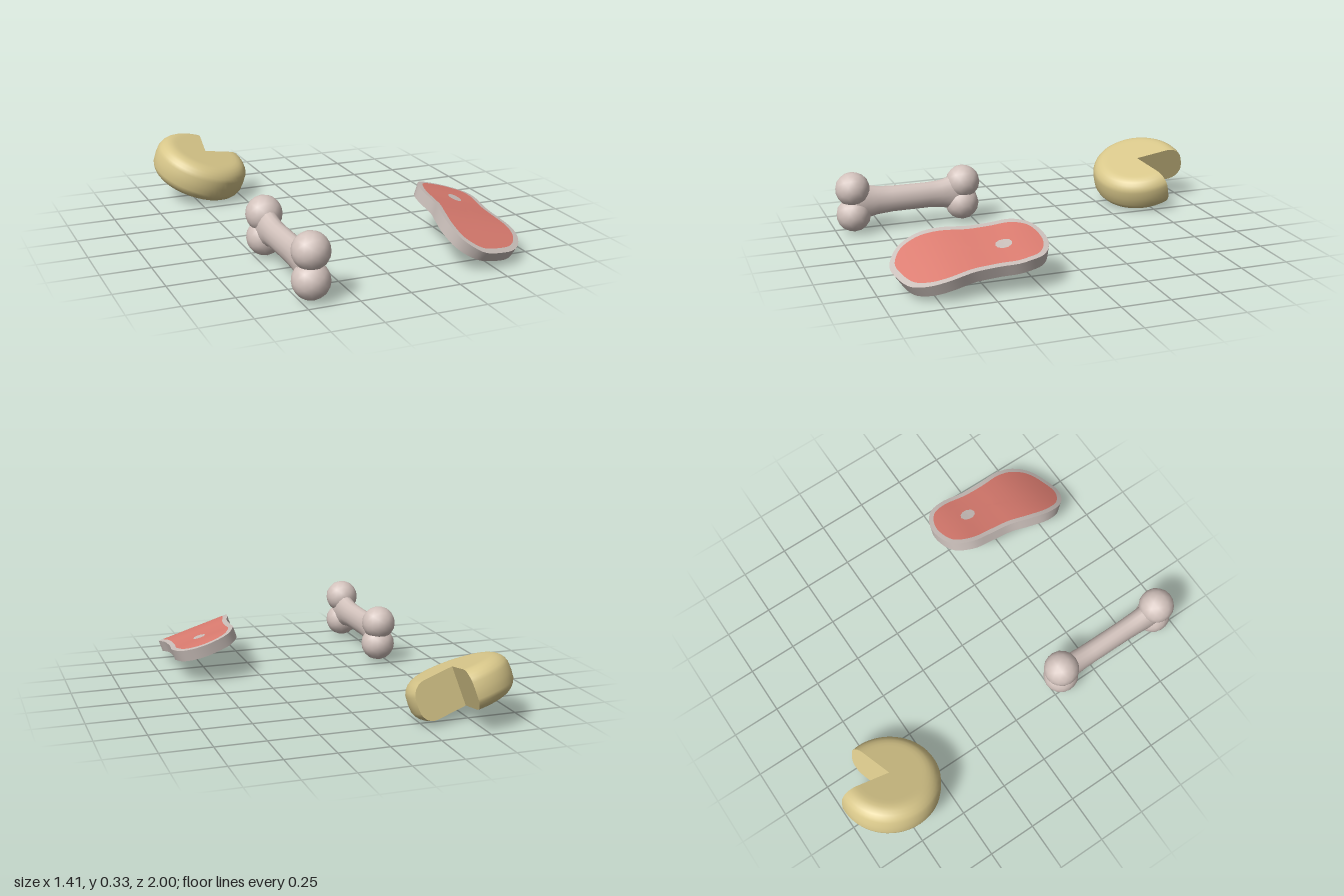
import * as THREE from 'three';

const mat = (name, color, side = THREE.FrontSide) => {
  const m = new THREE.MeshStandardMaterial({ color, side });
  m.name = name;
  return m;
};

// Skin a series of closed loops (arrays of Vector3) into one smooth surface
function skin(loops) {
  const n = loops[0].length, pos = [], idx = [];
  loops.forEach(l => l.forEach(p => pos.push(p.x, p.y, p.z)));
  for (let i = 0; i < loops.length - 1; i++)
    for (let j = 0; j < n; j++) {
      const k = (j + 1) % n, a = i * n, b = a + n;
      idx.push(a + j, b + j, b + k, a + j, b + k, a + k);
    }
  const g = new THREE.BufferGeometry();
  g.setAttribute('position', new THREE.Float32BufferAttribute(pos, 3));
  g.setIndex(idx);
  g.computeVertexNormals();
  return g;
}

function add(parent, name, geometry, material) {
  const m = new THREE.Mesh(geometry, material);
  m.name = name;
  parent.add(m);
  return m;
}

// Tilted cheese wheel with a wedge cut out
function makeCheese(material) {
  const g = new THREE.Group();
  g.name = 'cheeseWheel';
  const ring = 0.178, r = 0.08, half = 0.1;
  const profile = [new THREE.Vector2(0, -half), new THREE.Vector2(ring - 0.02, -half)];
  for (let i = 0; i <= 12; i++) {
    const a = -Math.PI / 2 + (i / 12) * Math.PI;
    profile.push(new THREE.Vector2(ring + r * Math.cos(a), Math.sign(i - 6) * (half - r) + r * Math.sin(a)));
  }
  profile.push(new THREE.Vector2(ring - 0.02, half), new THREE.Vector2(0, half));
  const rad = THREE.MathUtils.degToRad, from = rad(84), to = rad(375);
  add(g, 'cheeseRind', new THREE.LatheGeometry(profile, 48, from + Math.PI / 2, to - from), material);
  for (const a of [from, to])
    add(g, 'cheeseCutFace', new THREE.ShapeGeometry(new THREE.Shape(profile)), material).rotation.y = a;
  g.quaternion.setFromUnitVectors(new THREE.Vector3(0, 1, 0), new THREE.Vector3(0.3, 1, 0.25).normalize());
  g.position.set(-0.45, 0.167, -0.743);
  return g;
}

// Bone: flared oval shaft with two knobs at each end
function makeBone(material) {
  const g = new THREE.Group();
  g.name = 'bone';
  const sections = [[0.9, 0.06, 0.11], [0.84, 0.058, 0.092], [0.78, 0.055, 0.078], [0.7, 0.053, 0.071],
    [0.5, 0.053, 0.07], [0.43, 0.054, 0.076], [0.38, 0.057, 0.09], [0.32, 0.06, 0.105]];
  add(g, 'boneShaft', skin(sections.map(([z, w, h]) =>
    Array.from({ length: 16 }, (_, i) => {
      const a = (i / 16) * Math.PI * 2;
      return new THREE.Vector3(-0.45 + w * Math.cos(a), 0.166 + h * Math.sin(a), z);
    }))), material);
  for (const [y, z] of [[0.24, 0.907], [0.1, 0.907], [0.222, 0.305], [0.104, 0.312]])
    add(g, 'boneKnob', new THREE.IcosahedronGeometry(0.091, 2), material).position.set(-0.45, y, z);
  return g;
}

// Wavy steak: red meat inside a pale fat rim
function makeSteak(meat, fat) {
  const g = new THREE.Group();
  g.name = 'steak';
  const wave = new THREE.SplineCurve([0.225, 0.23, 0.228, 0.213, 0.203, 0.195, 0.178, 0.145, 0.095, 0.03]
    .map((y, i) => new THREE.Vector2(0.1 + i * 0.1, y)));
  const f = z => wave.getPoint((z - 0.1) / 0.9).y;
  // Place a plan point on the surface, sunk by a depth along its normal
  const place = (p, depth) => {
    const slope = (f(p.y + 0.01) - f(p.y - 0.01)) / 0.02;
    const n = new THREE.Vector3(0.31, 1, -slope).normalize();
    return new THREE.Vector3(p.x, f(p.y) - 0.31 * (p.x - 0.5), p.y).addScaledVector(n, -depth);
  };
  const outline = new THREE.CatmullRomCurve3([
    [0.54, 0.19], [0.43, 0.225], [0.375, 0.32], [0.362, 0.44], [0.352, 0.54], [0.322, 0.65], [0.305, 0.77],
    [0.33, 0.865], [0.41, 0.918], [0.51, 0.908], [0.62, 0.865], [0.68, 0.79], [0.7, 0.7], [0.688, 0.58],
    [0.688, 0.46], [0.7, 0.35], [0.68, 0.255], [0.62, 0.205]].map(([x, z]) => new THREE.Vector3(x, 0, z)), true);
  const N = 72, outer = [], inner = [];
  for (let i = 0; i < N; i++) {
    const p = outline.getPoint(i / N), t = outline.getTangent(i / N);
    outer.push(new THREE.Vector2(p.x, p.z));
    inner.push(new THREE.Vector2(p.x + t.z * 0.025, p.z - t.x * 0.025));
  }
  const centre = new THREE.Vector2(0.52, 0.55);
  const scaled = s => inner.map(p => centre.clone().lerp(p, s));
  const spot = s => Array.from({ length: 10 }, (_, i) => {
    const a = (i / 10) * Math.PI * 2;
    return new THREE.Vector2(0.54 - s * 0.032 * Math.sin(a), 0.4 - s * 0.042 * Math.cos(a));
  });
  const at = (loop, depth) => loop.map(p => place(p, depth));
  const T = 0.06, steps = [0, 0.15, 0.3, 0.45, 0.6, 0.75, 0.9, 1];

  add(g, 'meatTop', skin(steps.map(s => at(scaled(s), 0))), meat);
  add(g, 'meatBottom', skin([...steps].reverse().map(s => at(scaled(s), T))), meat);
  add(g, 'fatRimTop', skin([at(inner, 0), at(outer, 0)]), fat);
  add(g, 'fatRimSide', skin([at(outer, 0), at(outer, T)]), fat);
  add(g, 'fatRimBottom', skin([at(outer, T), at(inner, T)]), fat);
  add(g, 'boneSpotTop', skin([at(spot(0), -0.003), at(spot(1), -0.003)]), fat);
  add(g, 'boneSpotBottom', skin([at(spot(1), T + 0.003), at(spot(0), T + 0.003)]), fat);
  return g;
}

export function createModel() {
  const model = new THREE.Group();
  model.name = 'foodSet';
  model.add(
    makeCheese(mat('cheese', 0xd8c78a, THREE.DoubleSide)),
    makeBone(mat('bone', 0xd3c3bd)),
    makeSteak(mat('meat', 0xda7b6f), mat('fat', 0xc9beb9)));
  return model;
}
